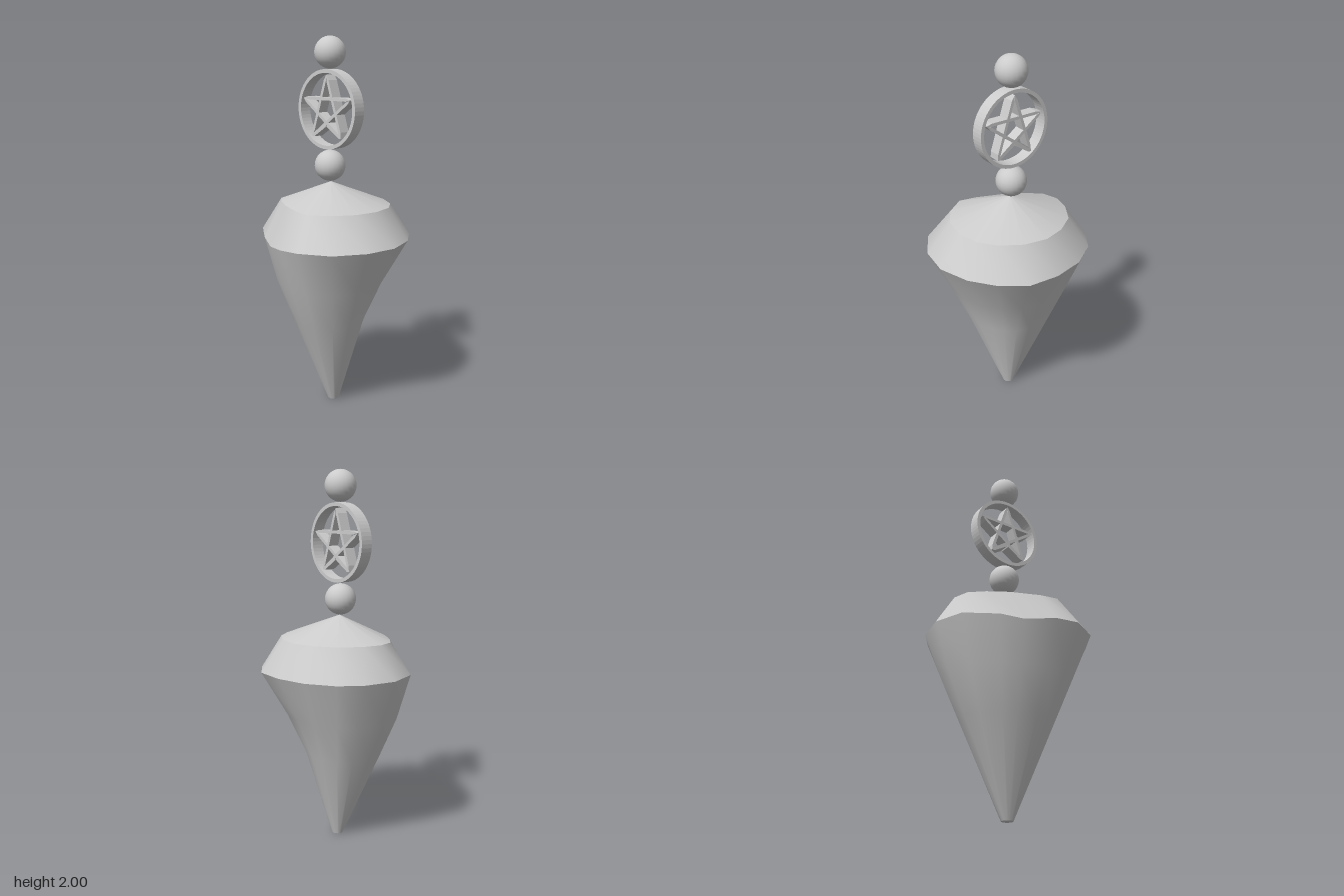
import * as THREE from 'three';

const mat = new THREE.MeshStandardMaterial({ color: 0xcccccc });
const AXIS = -0.015;

function add(group, name, geometry, x = 0, y = 0, z = 0) {
  const mesh = new THREE.Mesh(geometry, mat);
  mesh.name = name;
  mesh.position.set(x, y, z);
  group.add(mesh);
  return mesh;
}

// Skin between closed rings of [x, y, z], listed from bottom to top
function loft(rings) {
  const n = rings[0].length, index = [];
  for (let i = 0; i < rings.length - 1; i++) {
    for (let j = 0; j < n; j++) {
      const k = (j + 1) % n;
      const a = i * n + j, b = i * n + k, c = b + n, d = a + n;
      index.push(a, c, b, a, d, c);
    }
  }
  const geo = new THREE.BufferGeometry();
  geo.setAttribute('position', new THREE.Float32BufferAttribute(rings.flat(2), 3));
  geo.setIndex(index);
  geo.computeVertexNormals();
  return geo;
}

// Irregular outlines of the stone (x, z), clockwise seen from above
const girdle = [[-0.01, -0.41], [0.16, -0.395], [0.29, -0.3], [0.385, -0.17],
  [0.437, 0], [0.41, 0.17], [0.315, 0.325], [0.16, 0.408],
  [0.025, 0.4], [-0.125, 0.335], [-0.235, 0.28], [-0.385, 0.165],
  [-0.44, 0], [-0.405, -0.17], [-0.325, -0.285], [-0.18, -0.375]];
const table = [[-0.01, -0.31], [0.115, -0.285], [0.225, -0.215], [0.29, -0.125],
  [0.315, 0], [0.29, 0.125], [0.22, 0.23], [0.115, 0.3],
  [0.02, 0.28], [-0.13, 0.22], [-0.235, 0.155], [-0.31, 0.09],
  [-0.335, 0], [-0.31, -0.1], [-0.24, -0.21], [-0.13, -0.28]];

function buildStone() {
  const stone = new THREE.Group();
  stone.name = 'stone';
  const rim = girdle.map(([x, z], i) => [x, i === 9 ? 0.925 : i === 8 || i === 10 ? 0.945 : 0.955, z]);
  const upper = table.map(([x, z]) => [x, 1.125, z]);
  const tip = girdle.map(([x, z]) => {
    const r = Math.hypot(x, z);
    return [0.005 + 0.031 * x / r, 0, -0.003 + 0.031 * z / r];
  });
  // Intermediate ring, dented towards the back on +x and bulged opposite
  const middle = (y, dent, bulge) => girdle.map(([x, z], i) => {
    const t = y / 0.955;
    const c = (x - z) / Math.SQRT2 / Math.hypot(x, z);
    const s = 1 - c * (c > 0 ? dent : bulge);
    return [(tip[i][0] * (1 - t) + x * t) * s, y, (tip[i][2] * (1 - t) + z * t) * s];
  });
  const point = (x, y, z) => girdle.map(() => [x, y, z]);

  add(stone, 'stoneTip', loft([point(0.005, 0, -0.003), tip]));
  add(stone, 'stonePoint', loft([tip, middle(0.49, 0.24, 0.1), middle(0.71, 0.14, 0.09), rim]));
  add(stone, 'stoneShoulder', loft([rim, upper]));
  add(stone, 'stoneCrown', loft([upper, point(-0.01, 1.245, 0)]));
  return stone;
}

function extrude(shape, depth) {
  const geo = new THREE.ExtrudeGeometry(shape, { depth, bevelEnabled: false, curveSegments: 32 });
  return geo.translate(0, 0, -depth / 2);
}

// Slim bar with pointed ends between two points
function addBar(group, name, a, b, halfWidth) {
  const L = a.distanceTo(b) / 2, s = L * 0.82;
  const shape = new THREE.Shape([[-L, 0], [-s, -halfWidth], [s, -halfWidth],
    [L, 0], [s, halfWidth], [-s, halfWidth]].map(p => new THREE.Vector2(...p)));
  const bar = add(group, name, extrude(shape, 0.062), (a.x + b.x) / 2, (a.y + b.y) / 2);
  bar.rotation.z = Math.atan2(b.y - a.y, b.x - a.x);
}

function buildPendant() {
  const pendant = new THREE.Group();
  pendant.name = 'starPendant';
  pendant.position.set(AXIS, 1.625, 0);

  // Flat hoop
  const hoop = new THREE.Shape().absarc(0, 0, 0.207, 0, Math.PI * 2);
  hoop.holes.push(new THREE.Path().absarc(0, 0, 0.188, 0, Math.PI * 2, true));
  add(pendant, 'hoop', extrude(hoop, 0.068));

  // Five crossing bars form the star
  const tips = [];
  for (let i = 0; i < 5; i++) {
    const a = Math.PI / 2 + i * Math.PI * 2 / 5;
    tips.push(new THREE.Vector2(0.178 * Math.cos(a), 0.178 * Math.sin(a)));
  }
  tips.forEach((p, i) => addBar(pendant, 'starBar', p, tips[(i + 2) % 5], 0.008));

  // Braces between the two lower tips
  const notch = new THREE.Vector2(0, -0.077);
  for (const i of [2, 3]) addBar(pendant, 'starBrace', tips[i], notch, 0.009);
  return pendant;
}

export function createModel() {
  const model = new THREE.Group();
  model.name = 'pendulum';
  model.add(buildStone(), buildPendant());
  for (const [name, y] of [['lowerBead', 1.33], ['upperBead', 1.917]]) {
    add(model, name, new THREE.SphereGeometry(0.083, 20, 14), AXIS - 0.002, y);
  }
  return model;
}
